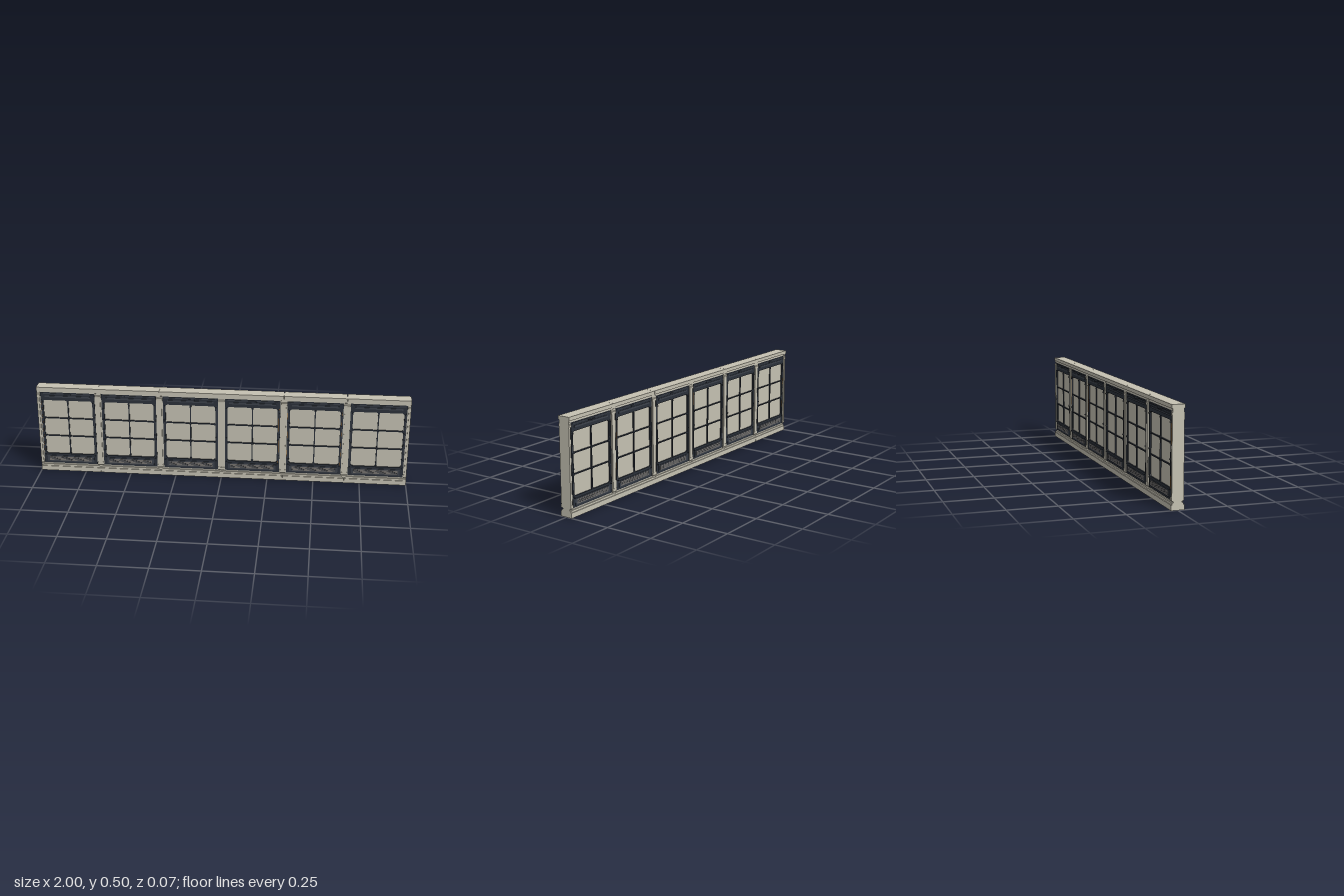
import * as THREE from 'three';

const stone = new THREE.MeshStandardMaterial({ color: 0xc6c2b3 });
const dark = new THREE.MeshStandardMaterial({ color: 0x2b313a });
const slate = new THREE.MeshStandardMaterial({ color: 0x3d434c });
const grille = new THREE.MeshStandardMaterial({ color: 0x77736f });
const amber = new THREE.MeshStandardMaterial({ color: 0x8a5a22 });

const BAY = 1 / 3;

function add(parent, name, geometry, material, x = 0, y = 0, z = 0) {
  const mesh = new THREE.Mesh(geometry, material);
  mesh.name = name;
  mesh.position.set(x, y, z);
  parent.add(mesh);
  return mesh;
}

// Box given by its limits in x and y, and its depth about z
function block(parent, name, x0, x1, y0, y1, depth, material, z = 0) {
  return add(parent, name, new THREE.BoxGeometry(x1 - x0, y1 - y0, depth), material,
    (x0 + x1) / 2, (y0 + y1) / 2, z);
}

// Rectangle with cut corners
function cutRect(target, x0, x1, y0, y1, c) {
  target.moveTo(x0 + c, y0);
  target.lineTo(x1 - c, y0);
  target.lineTo(x1, y0 + c);
  target.lineTo(x1, y1 - c);
  target.lineTo(x1 - c, y1);
  target.lineTo(x0 + c, y1);
  target.lineTo(x0, y1 - c);
  target.lineTo(x0, y0 + c);
  target.closePath();
  return target;
}

// Ring-shaped frame, extruded symmetrically about z = 0
function ring(outer, inner, cut, depth) {
  const shape = cutRect(new THREE.Shape(), ...outer, 0.002);
  shape.holes.push(cutRect(new THREE.Path(), ...inner, cut));
  const g = new THREE.ExtrudeGeometry(shape, { depth, bevelEnabled: false });
  return g.translate(0, 0, -depth / 2);
}

// Moulded cross-section (half depth, height) extruded along x
function moulding(profile, width) {
  const pts = [
    ...profile.map(([z, y]) => new THREE.Vector2(z, y)),
    ...profile.slice().reverse().map(([z, y]) => new THREE.Vector2(-z, y)),
  ];
  const g = new THREE.ExtrudeGeometry(new THREE.Shape(pts), { depth: width, bevelEnabled: false });
  return g.translate(0, 0, -width / 2).rotateY(Math.PI / 2);
}

const capitalProfile = [[0.031, 0.443], [0.032, 0.455], [0.028, 0.458], [0.028, 0.467], [0.029, 0.468], [0.029, 0.477]];
const footProfile = [[0.029, 0.025], [0.029, 0.034], [0.02, 0.037], [0.02, 0.041], [0.031, 0.046], [0.031, 0.061]];

// Post between bays; end posts keep only their inner half
function makePost(x, end) {
  const post = new THREE.Group();
  post.name = 'post';
  const span = (half) => [end > 0 ? -half : end < 0 ? 0 : -half, end > 0 ? 0 : half];
  const part = (name, half, y0, y1, depth) => {
    const [a, b] = span(half);
    block(post, name, a, b, y0, y1, depth, stone);
  };
  part('jamb', 0.019, 0.045, 0.47, 0.048);
  part('shaft', 0.012, 0.06, 0.444, 0.06);
  for (const [name, profile] of [['capital', capitalProfile], ['foot', footProfile]]) {
    const [a, b] = span(0.017);
    add(post, name, moulding(profile, b - a), stone, (a + b) / 2);
  }
  post.position.x = x;
  return post;
}

// Details of one window face, built toward +z
function makeFace() {
  const face = new THREE.Group();
  face.name = 'windowFace';
  // Header strips and latch
  block(face, 'headerBand', -0.125, 0.125, 0.437, 0.446, 0.003, slate, 0.0275);
  block(face, 'headerLip', -0.14, 0.14, 0.456, 0.461, 0.004, slate, 0.0275);
  block(face, 'latch', -0.022, 0.022, 0.45, 0.457, 0.005, dark, 0.028);
  // Vent slot below the panes
  block(face, 'ventSurround', -0.13, 0.13, 0.055, 0.089, 0.003, slate, 0.0275);
  block(face, 'ventGrille', -0.118, 0.118, 0.061, 0.083, 0.002, grille, 0.029);
  for (const y of [0.0665, 0.072, 0.0775]) {
    block(face, 'ventSlat', -0.118, 0.118, y - 0.0007, y + 0.0007, 0.0015, dark, 0.0298);
  }
  // Stile ridges and bolts
  const bolt = new THREE.CylinderGeometry(0.0032, 0.0032, 0.006, 8).rotateX(Math.PI / 2);
  for (const s of [-1, 1]) {
    block(face, 'stileRidge', s * 0.1435 - 0.0015, s * 0.1435 + 0.0015, 0.1, 0.42, 0.003, slate, 0.027);
    for (const y of [0.095, 0.237, 0.41]) add(face, 'bolt', bolt, dark, s * 0.138, y, 0.029);
  }
  // Glazing bars with rosettes and end clips
  block(face, 'verticalBar', -0.003, 0.003, 0.1, 0.42, 0.007, dark, 0.0225);
  const rosette = new THREE.CylinderGeometry(0.009, 0.009, 0.005, 4).rotateX(Math.PI / 2);
  for (const y of [0.209, 0.314]) {
    block(face, 'horizontalBar', -0.137, 0.137, y - 0.003, y + 0.003, 0.007, dark, 0.0225);
    add(face, 'rosette', rosette, dark, 0, y, 0.0255);
    for (const s of [-1, 1]) {
      block(face, 'barClip', s * 0.131 - 0.004, s * 0.131 + 0.004, y - 0.005, y + 0.005, 0.005, dark, 0.0245);
    }
  }
  for (const y of [0.107, 0.413]) block(face, 'barClip', -0.005, 0.005, y - 0.004, y + 0.004, 0.005, dark, 0.0245);
  return face;
}

function makeWindow(x) {
  const win = new THREE.Group();
  win.name = 'window';
  add(win, 'frame', ring([-0.148, 0.148, 0.045, 0.467], [-0.134, 0.134, 0.102, 0.419], 0.008, 0.053), dark);
  block(win, 'panes', -0.14, 0.14, 0.095, 0.425, 0.04, stone);
  const front = makeFace();
  const back = makeFace();
  back.rotation.y = Math.PI;
  win.add(front, back);
  win.position.x = x;
  return win;
}

export function createModel() {
  const model = new THREE.Group();
  model.name = 'windowWall';

  // Base and cornice, with fine joints between lengths
  const joints = [-1, -2 / 3, -1 / 3, 1 / 3, 2 / 3, 1];
  for (let i = 0; i < joints.length - 1; i++) {
    const a = joints[i] + (i ? 0.0005 : 0);
    const b = joints[i + 1] - (i < joints.length - 2 ? 0.0005 : 0);
    block(model, 'base', a, b, 0, 0.026, 0.066, stone);
    block(model, 'cornice', a, b, 0.476, 0.495, 0.066, stone);
  }

  // Bays with upper and lower rails
  for (let i = 0; i < 6; i++) {
    const x = (i - 2.5) * BAY;
    block(model, 'lowerRail', x - 0.158, x + 0.158, 0.026, 0.037, 0.058, stone);
    block(model, 'sillRail', x - 0.15, x + 0.15, 0.037, 0.046, 0.046, stone);
    block(model, 'upperRail', x - 0.158, x + 0.158, 0.466, 0.476, 0.056, stone);
    model.add(makeWindow(x));
  }

  // Posts
  for (let i = 0; i <= 6; i++) {
    model.add(makePost((i - 3) * BAY, i === 0 ? -1 : i === 6 ? 1 : 0));
  }

  // Amber edge strips beside some frames
  for (const x of [-0.977, -0.022, 0.309, 0.356, 0.643]) {
    block(model, 'edgeStrip', x - 0.002, x + 0.002, 0.1, 0.42, 0.0545, amber);
  }
  return model;
}
